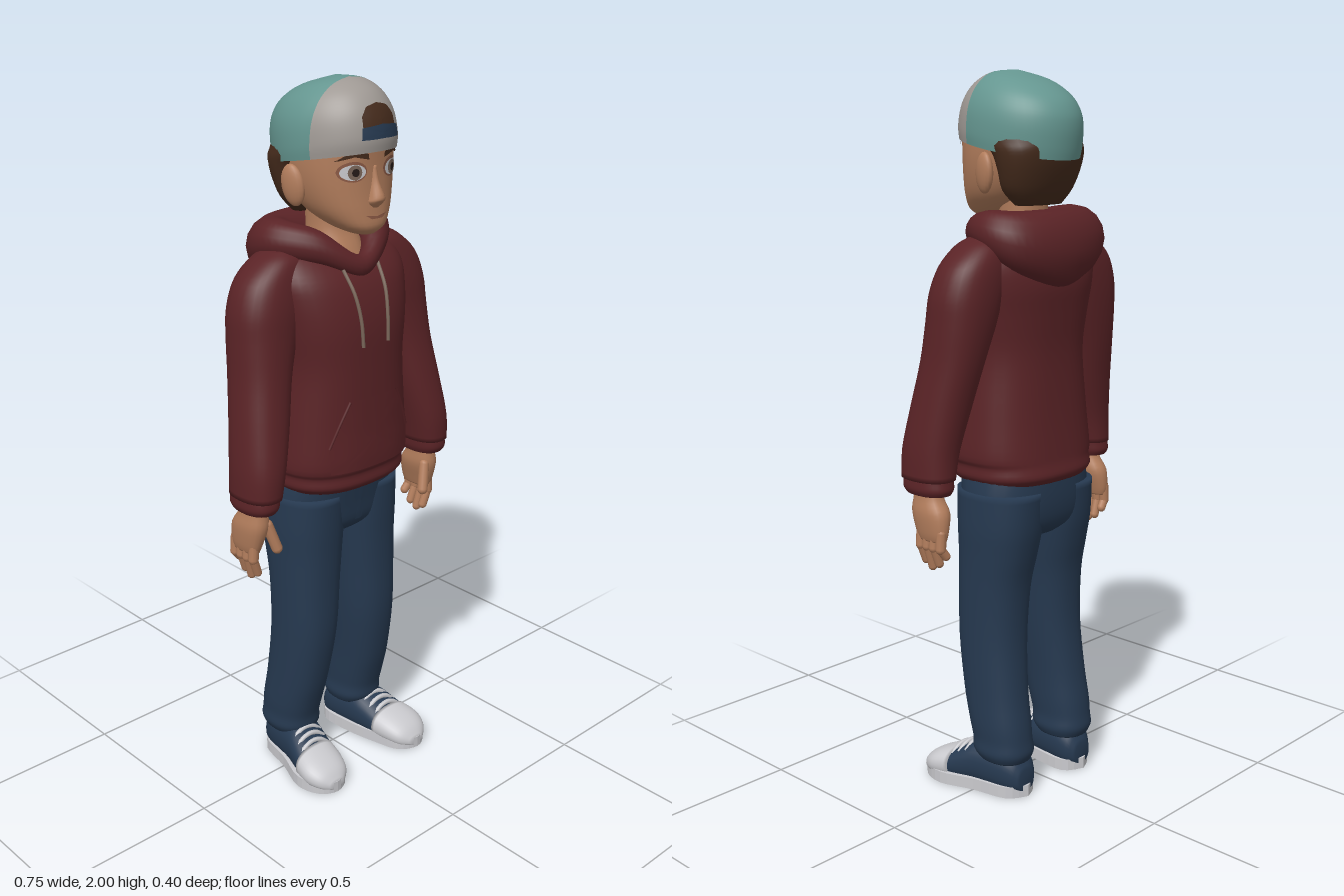
import * as THREE from 'three';

const mat = (name, color) => Object.assign(new THREE.MeshStandardMaterial({ color }), { name });
const V = (x, y, z) => new THREE.Vector3(x, y, z);
const cubic = (a, b, c, d, t) =>
  0.5 * (2 * b + (c - a) * t + (2 * a - 5 * b + 4 * c - d) * t * t + (3 * b - a - 3 * c + d) * t ** 3);

// Smoothly subdivide a list of number rows
function refine(rows, steps, closed) {
  const n = rows.length, out = [];
  const at = i => rows[closed ? (i + n) % n : Math.min(n - 1, Math.max(0, i))];
  for (let i = 0; i < (closed ? n : n - 1); i++)
    for (let k = 0; k < steps; k++)
      out.push(at(i).map((b, c) => cubic(at(i - 1)[c], b, at(i + 1)[c], at(i + 2)[c], k / steps)));
  if (!closed) out.push(rows[n - 1]);
  return out;
}

// Surface through rings of points; optional end caps
function skin(rings, wrapRings, wrapRing, caps) {
  const n = rings.length, m = rings[0].length, pts = rings.flat(), index = [];
  for (let i = 0; i < (wrapRings ? n : n - 1); i++)
    for (let j = 0; j < (wrapRing ? m : m - 1); j++) {
      const i2 = (i + 1) % n, j2 = (j + 1) % m;
      const a = i * m + j, b = i2 * m + j, c = i * m + j2, d = i2 * m + j2;
      index.push(a, b, c, b, d, c);
    }
  if (caps) [0, n - 1].forEach(i => {
    const mid = rings[i].reduce((s, p) => s.add(p), V(0, 0, 0)).divideScalar(m);
    pts.push(mid);
    for (let j = 0; j < m; j++) {
      const a = i * m + j, b = i * m + (j + 1) % m;
      index.push(pts.length - 1, ...(i ? [b, a] : [a, b]));
    }
  });
  const g = new THREE.BufferGeometry().setFromPoints(pts);
  g.setIndex(index);
  g.computeVertexNormals();
  return g;
}

// Rows are [position, x0, x1, w0, w1]; w is z for upright lofts, y for lofts along z
function loft(rows, { side = 1, power = 2.3, along = 'y', arc, n = 32, steps = 4 } = {}) {
  const e = 2 / power, pw = v => Math.sign(v) * Math.abs(v) ** e;
  const rings = refine(rows, steps).map(([h, x0, x1, w0, w1]) => {
    const cx = side * (x0 + x1) / 2, cw = (w0 + w1) / 2, rx = (x1 - x0) / 2, rw = (w1 - w0) / 2;
    const [a0, a1] = arc ? arc(cw, rw) : [0, Math.PI * 2];
    return Array.from({ length: arc ? n + 1 : n }, (_, j) => {
      const t = a0 + (a1 - a0) * j / n, x = cx + rx * pw(Math.cos(t)), w = rw * pw(Math.sin(t));
      return along === 'y' ? V(x, h, cw + w) : V(x, cw - w, h);
    });
  });
  return skin(rings, false, !arc, !arc);
}
// Row that is symmetric in x
const sym = (h, x, w0, w1) => [h, -x, x, w0, w1];

const ray = new THREE.Raycaster();
function frontZ(target, x, y) {
  ray.set(V(x, y, 1), V(0, 0, -1));
  const hit = ray.intersectObject(target)[0];
  return hit ? hit.point.z : 0.1;
}
// Thin plate that follows the front of a mesh
function plate(outline, target, lift = 0.004) {
  const shape = new THREE.Shape(outline.map(p => new THREE.Vector2(...p))).closePath();
  const pts = shape.getSpacedPoints(40).slice(0, -1);
  if (THREE.ShapeUtils.isClockWise(pts)) pts.reverse();
  const c = pts.reduce((s, p) => s.add(p), new THREE.Vector2()).divideScalar(pts.length);
  const rings = [0, 0.25, 0.5, 0.75, 1].map(t => pts.map(p => {
    const x = c.x + (p.x - c.x) * t, y = c.y + (p.y - c.y) * t;
    return V(x, y, frontZ(target, x, y) + lift);
  }));
  return skin(rings, false, true, false);
}
const oval = (cx, cy, rx, ry) => Array.from({ length: 20 }, (_, i) =>
  [cx + rx * Math.cos(i * Math.PI / 10), cy + ry * Math.sin(i * Math.PI / 10)]);
const tube = (pts, r) => new THREE.TubeGeometry(new THREE.CatmullRomCurve3(pts), 16, r, 6);

export function createModel() {
  const model = new THREE.Group();
  const hoodie = mat('burgundy', 0x5a2326), denim = mat('denim blue', 0x263950), teal = mat('teal', 0x659690);
  const grey = mat('warm grey', 0x9f9994), skinTone = mat('skin', 0xb27d5c), hair = mat('dark brown', 0x452b1c);
  const white = mat('off white', 0xcacace), cord = mat('cord', 0x7b675a), lip = mat('lip', 0x8c5a45);
  const black = mat('pupil', 0x241a17);
  teal.side = grey.side = THREE.DoubleSide;
  const add = (name, geometry, material, parent = model) => {
    const m = new THREE.Mesh(geometry, material);
    m.name = name;
    parent.add(m);
    return m;
  };

  // Head, neck and hair
  const head = add('head', loft([sym(1.612, 0.03, 0.06, 0.145), sym(1.632, 0.068, 0.01, 0.163),
    sym(1.67, 0.104, -0.06, 0.162), sym(1.72, 0.125, -0.1, 0.158), sym(1.78, 0.135, -0.12, 0.156),
    sym(1.85, 0.135, -0.13, 0.158)]), skinTone);
  add('neck', loft([sym(1.5, 0.08, -0.07, 0.1), sym(1.56, 0.072, -0.07, 0.075), sym(1.62, 0.066, -0.07, 0.05),
    sym(1.7, 0.07, -0.07, 0.05)]), skinTone);
  add('nose', loft([sym(1.684, 0.012, 0.13, 0.165), sym(1.698, 0.024, 0.12, 0.179), sym(1.712, 0.021, 0.12, 0.186),
    sym(1.75, 0.012, 0.12, 0.168), sym(1.79, 0.01, 0.12, 0.157)], { n: 16 }), skinTone);
  add('hair', loft([sym(1.65, 0.08, -0.1, -0.03), sym(1.69, 0.115, -0.125, 0), sym(1.745, 0.134, -0.146, 0.01),
    sym(1.79, 0.143, -0.157, 0.035), sym(1.815, 0.144, -0.16, 0.11), sym(1.832, 0.144, -0.16, 0.166),
    sym(1.86, 0.14, -0.155, 0.165)]), hair);

  // Face
  add('mouth', plate([[-0.036, 1.667], [0, 1.662], [0.036, 1.667], [0.018, 1.656], [-0.018, 1.656]], head), lip);
  for (const s of [1, -1]) {
    const ear = add('ear', new THREE.SphereGeometry(1, 16, 12), skinTone);
    ear.scale.set(0.018, 0.055, 0.034);
    ear.position.set(s * 0.138, 1.735, 0);
    ear.rotation.set(-0.15, s * -0.25, s * -0.1);
    add('eyeRim', plate(oval(s * 0.065, 1.779, 0.037, 0.026), head, 0.002), lip);
    add('eyeWhite', plate(oval(s * 0.065, 1.778, 0.032, 0.02), head, 0.004), white);
    add('iris', plate(oval(s * 0.063, 1.778, 0.018, 0.019), head, 0.006), cord);
    add('pupil', plate(oval(s * 0.063, 1.778, 0.009, 0.01), head, 0.008), black);
    add('eyebrow', plate([[0.026, 1.808], [0.07, 1.818], [0.108, 1.806], [0.075, 1.83], [0.028, 1.823]]
      .map(([x, y]) => [s * x, y]), head, 0.007), hair);
  }

  // Backwards cap: grey front panel and teal back, split at one depth
  const capRows = [sym(1.797, 0.147, -0.17, 0.178), sym(1.83, 0.15, -0.176, 0.181), sym(1.88, 0.147, -0.18, 0.171),
    sym(1.92, 0.135, -0.173, 0.152), sym(1.955, 0.111, -0.146, 0.122), sym(1.983, 0.07, -0.085, 0.075),
    [1.997, 0, 0, 0.01, 0.01]];
  const cut = (c, r) => Math.asin(Math.max(-1, Math.min(1, (0.065 - c) / Math.max(r, 1e-6))));
  const capPart = (name, arc, material) => {
    const g = loft(capRows, { power: 2, arc });
    g.applyMatrix4(new THREE.Matrix4().makeShear(0, 0, 0, 0, 0, 0.175).identity()
      .set(1, 0, 0, 0, 0, 1, 0.175, 0, 0, 0, 1, 0, 0, 0, 0, 1));
    g.computeVertexNormals();
    return add(name, g, material);
  };
  const panel = capPart('capFrontPanel', (c, r) => [cut(c, r), Math.PI - cut(c, r)], grey);
  capPart('capBack', (c, r) => [Math.PI - cut(c, r), 2 * Math.PI + cut(c, r)], teal);
  add('capOpening', plate([[-0.055, 1.875], [0.055, 1.875], [0.052, 1.915], [0.035, 1.938], [0, 1.946],
    [-0.035, 1.938], [-0.052, 1.915]], panel), hair);
  add('capStrap', plate([[-0.062, 1.86], [0, 1.862], [0.062, 1.86], [0.058, 1.89], [0, 1.897], [-0.058, 1.89]],
    panel, 0.008), denim);

  // Hoodie body
  const torso = add('hoodieBody', loft([sym(0.905, 0.182, -0.152, 0.14), sym(0.925, 0.2, -0.166, 0.16),
    sym(0.955, 0.2, -0.16, 0.158), sym(0.985, 0.21, -0.156, 0.166), sym(1.1, 0.2, -0.146, 0.163),
    sym(1.25, 0.187, -0.14, 0.162), sym(1.36, 0.2, -0.148, 0.16), sym(1.44, 0.213, -0.155, 0.145),
    sym(1.5, 0.218, -0.145, 0.118), sym(1.55, 0.195, -0.12, 0.07), sym(1.58, 0.13, -0.09, 0.02)],
    { power: 2.5, n: 40 }), hoodie);
  add('pocket', plate([[-0.14, 0.975], [0.14, 0.975], [0.145, 1.05], [0.085, 1.175], [-0.085, 1.175],
    [-0.145, 1.05]], torso, 0.007), hoodie);

  // Hood: a roll round the neck, thin at the front and heavy at the back
  const half = [[0, 1.52, 0.105, 0.026, 0.03], [0.095, 1.573, 0.055, 0.04, 0.045], [0.15, 1.585, -0.03, 0.058, 0.056],
    [0.118, 1.555, -0.1, 0.075, 0.085], [0, 1.535, -0.124, 0.076, 0.107]];
  const loop = [...half, ...half.slice(1, 4).reverse().map(([x, ...r]) => [-x, ...r])];
  const ringRows = refine(loop, 7, true);
  add('hood', skin(ringRows.map(([x, y, z, r, v], i) => {
    const a = i / ringRows.length * Math.PI * 2;
    return Array.from({ length: 16 }, (_, j) => {
      const b = j * Math.PI / 8, q = r * Math.cos(b);
      return V(x + q * Math.sin(a), y + v * Math.sin(b), z + q * Math.cos(a));
    });
  }), true, true, false), hoodie);

  for (const s of [1, -1]) {
    const opt = { side: s };
    // Drawstring and pocket edge
    const onChest = ([x, y], lift) => V(s * x, y, frontZ(torso, s * x, y) + lift);
    add('drawstring', tube([[0.062, 1.52], [0.055, 1.46], [0.048, 1.39], [0.045, 1.32]]
      .map(p => onChest(p, 0.007)), 0.005), cord);
    add('pocketEdge', tube([[0.085, 1.175], [0.115, 1.115], [0.143, 1.05]].map(p => onChest(p, 0.007)), 0.004), hoodie);

    // Sleeve and cuff
    add('sleeve', loft([[0.94, 0.26, 0.373, -0.042, 0.122], [1.02, 0.242, 0.371, -0.045, 0.122],
      [1.13, 0.212, 0.357, -0.062, 0.105], [1.25, 0.183, 0.34, -0.085, 0.085], [1.35, 0.15, 0.333, -0.1, 0.075],
      [1.43, 0.12, 0.326, -0.106, 0.07], [1.5, 0.1, 0.298, -0.103, 0.058], [1.55, 0.1, 0.243, -0.088, 0.042],
      [1.572, 0.13, 0.2, -0.06, 0.015]], opt), hoodie);
    add('cuff', loft([[0.9, 0.274, 0.363, -0.032, 0.105], [0.915, 0.268, 0.37, -0.04, 0.115],
      [0.935, 0.266, 0.369, -0.038, 0.115], [0.96, 0.265, 0.365, -0.035, 0.11]], opt), hoodie);

    // Hand
    const hand = new THREE.Group();
    hand.name = s > 0 ? 'leftHand' : 'rightHand';
    model.add(hand);
    add('palm', loft([[0.775, 0.31, 0.35, -0.034, 0.06], [0.8, 0.302, 0.356, -0.04, 0.07],
      [0.85, 0.288, 0.36, -0.036, 0.084], [0.89, 0.29, 0.353, -0.01, 0.08], [0.93, 0.292, 0.35, 0, 0.075]],
      { ...opt, n: 20 }), skinTone);
    const finger = (name, a, b, r) => {
      const d = b.clone().sub(a), m = add(name, new THREE.CapsuleGeometry(r, d.length(), 4, 10), skinTone, hand);
      m.position.copy(a).add(b).multiplyScalar(0.5);
      m.quaternion.setFromUnitVectors(V(0, 1, 0), d.normalize());
    };
    [[-0.026, 0.735], [0, 0.71], [0.025, 0.698], [0.05, 0.712]].forEach(([z, y]) => {
      finger('knuckle', V(s * 0.335, 0.8, z), V(s * 0.338, 0.757, z), 0.0145);
      finger('fingertip', V(s * 0.338, 0.757, z), V(s * 0.322, y, z - 0.003), 0.0125);
    });
    finger('thumb', V(s * 0.302, 0.855, 0.068), V(s * 0.282, 0.785, 0.083), 0.0155);

    // Trouser leg with a folded hem
    add('trouserLeg', loft([[0.1, 0.06, 0.188, -0.13, 0.02], [0.125, 0.05, 0.2, -0.14, 0.037],
      [0.16, 0.053, 0.198, -0.136, 0.04], [0.21, 0.05, 0.2, -0.13, 0.053], [0.3, 0.045, 0.198, -0.115, 0.076],
      [0.45, 0.03, 0.197, -0.1, 0.098], [0.6, 0.018, 0.198, -0.105, 0.1], [0.7, 0.007, 0.2, -0.125, 0.102],
      [0.78, 0, 0.203, -0.14, 0.106], [0.88, 0, 0.2, -0.147, 0.11]], opt), denim);

    // Shoe, toes turned slightly outwards
    const shoe = new THREE.Group();
    shoe.name = s > 0 ? 'leftShoe' : 'rightShoe';
    model.add(shoe);
    const sole = new THREE.Shape(new THREE.SplineCurve([[0.12, -0.143], [0.175, -0.105], [0.2, 0], [0.234, 0.1],
      [0.215, 0.172], [0.165, 0.2], [0.11, 0.172], [0.086, 0.1], [0.066, 0], [0.064, -0.105], [0.12, -0.143]]
      .map(([x, z]) => new THREE.Vector2(s * x, -z))).getPoints(40).slice(0, -1));
    add('sole', new THREE.ExtrudeGeometry(sole, { depth: 0.034, bevelEnabled: false }).rotateX(-Math.PI / 2), white, shoe);
    add('shoeUpper', loft([[-0.136, 0.09, 0.15, 0.015, 0.08], [-0.1, 0.064, 0.177, 0.003, 0.125],
      [0, 0.068, 0.197, 0.003, 0.135], [0.05, 0.076, 0.211, 0.003, 0.118], [0.11, 0.088, 0.226, 0.003, 0.082]],
      { ...opt, along: 'z' }), denim, shoe);
    add('toeCap', loft([[0.085, 0.08, 0.226, 0.002, 0.1], [0.135, 0.09, 0.234, 0.002, 0.084],
      [0.175, 0.108, 0.218, 0.003, 0.062], [0.198, 0.14, 0.188, 0.008, 0.035]], { ...opt, along: 'z' }), white, shoe);
    [[0.035, 0.14, 0.128], [0.058, 0.145, 0.119], [0.08, 0.15, 0.108]].forEach(([z, cx, top]) =>
      add('lace', tube([-1, -0.5, 0, 0.5, 1].map(k =>
        V(s * cx + k * 0.048, top - 0.026 * k * k, z + 0.004 * k)), 0.007), white, shoe));
  }

  // Trouser seat and fly
  const seat = add('trouserSeat', loft([sym(0.745, 0.09, -0.1, 0.06), sym(0.78, 0.18, -0.135, 0.095),
    sym(0.85, 0.2, -0.148, 0.108), sym(0.95, 0.185, -0.145, 0.125)], { power: 2.5 }), denim);
  add('fly', plate([[-0.012, 0.79], [0.012, 0.79], [0.016, 0.9], [-0.012, 0.9]], seat, 0.006), denim);

  return model;
}
